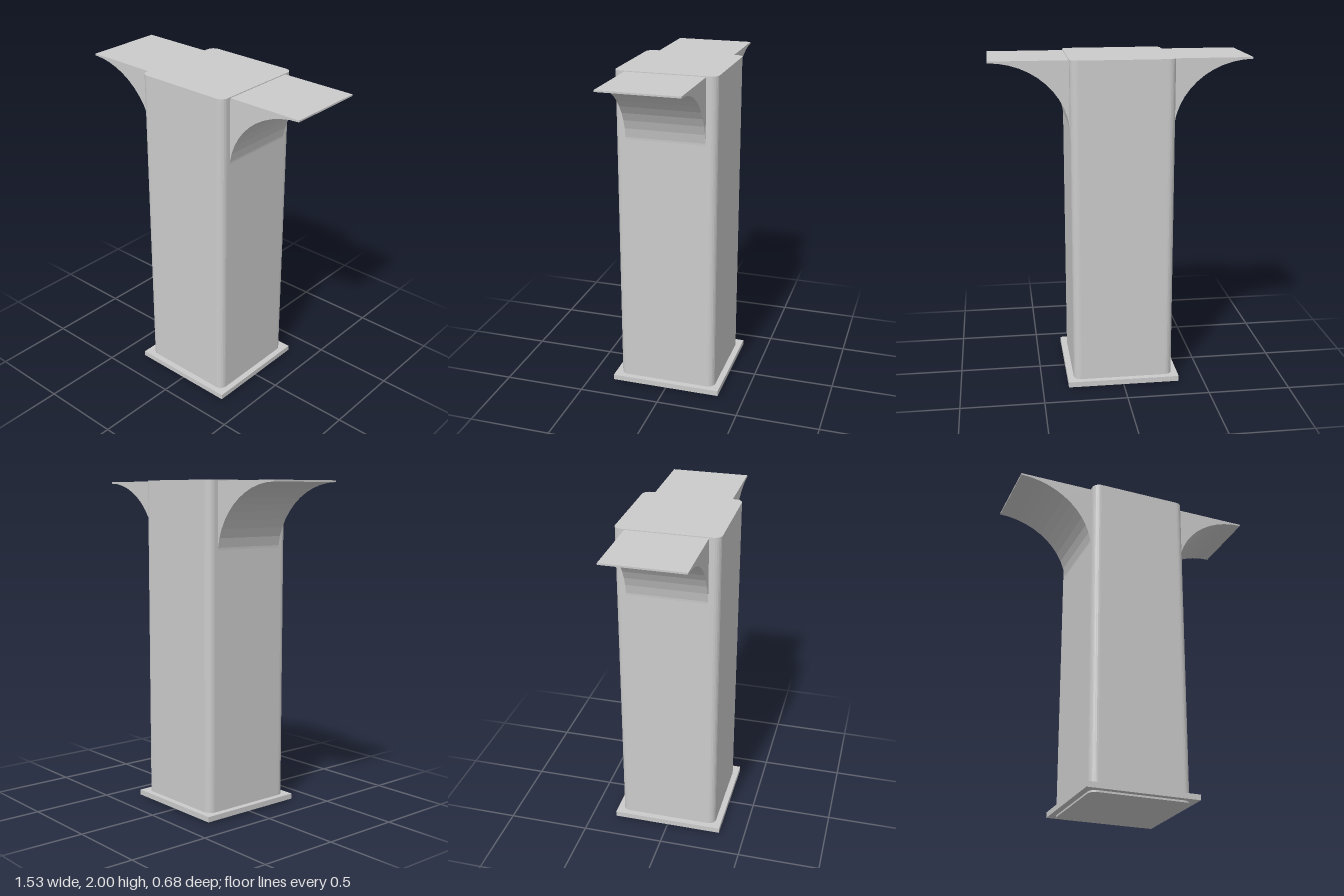
import * as THREE from 'three';

const material = new THREE.MeshStandardMaterial({ color: 0xcccccc, flatShading: true });

function addPart(group, name, geometry) {
  const mesh = new THREE.Mesh(geometry, material);
  mesh.name = name;
  group.add(mesh);
  return mesh;
}

// Square outline with rounded corners
function roundedSquare(half, radius) {
  const shape = new THREE.Shape();
  const c = half - radius;
  const centres = [[c, c], [-c, c], [-c, -c], [c, -c]];
  centres.forEach(([x, y], i) => {
    shape.absarc(x, y, radius, i * Math.PI / 2, (i + 1) * Math.PI / 2, false);
  });
  shape.closePath();
  return shape;
}

// Side profile of a bracket: flat top, thin tip, concave quarter-ellipse underside
function bracketProfile() {
  const inner = 0.302, tip = 0.765, low = 1.56, under = 1.985, top = 1.995;
  const points = [new THREE.Vector2(0.28, top), new THREE.Vector2(0.28, low)];
  const steps = 12;
  for (let i = 0; i <= steps; i++) {
    const a = (i / steps) * Math.PI / 2;
    points.push(new THREE.Vector2(
      tip - (tip - inner) * Math.cos(a),
      low + (under - low) * Math.sin(a)
    ));
  }
  points.push(new THREE.Vector2(tip, top));
  return new THREE.Shape(points);
}

export function createModel() {
  const model = new THREE.Group();
  model.name = 'bracketedColumn';

  // Upright shaft
  const shaft = new THREE.ExtrudeGeometry(roundedSquare(0.305, 0.045), {
    depth: 2, bevelEnabled: false, curveSegments: 3
  });
  shaft.rotateX(-Math.PI / 2);
  addPart(model, 'shaft', shaft);

  // Thin base plate, just clear of the shaft foot
  const plate = new THREE.BoxGeometry(0.684, 0.033, 0.684);
  plate.translate(0, 0.0275, 0);
  addPart(model, 'basePlate', plate);

  // Curved brackets on both sides
  for (const side of ['left', 'right']) {
    const bracket = new THREE.ExtrudeGeometry(bracketProfile(), {
      depth: 0.478, bevelEnabled: false
    });
    bracket.translate(0, 0, -0.239);
    if (side === 'right') bracket.rotateY(Math.PI);
    addPart(model, side + 'Bracket', bracket);
  }

  return model;
}
